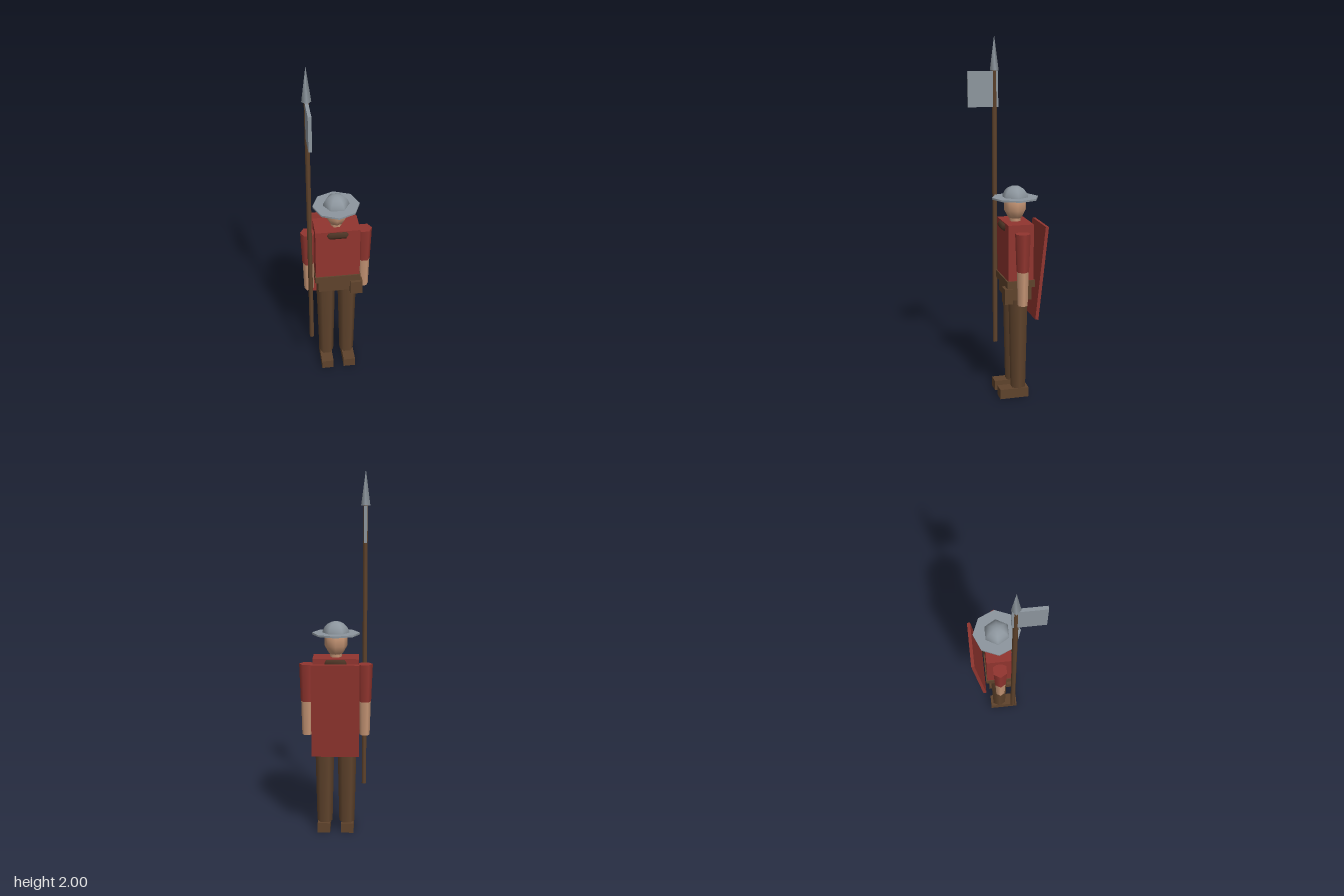
import * as THREE from 'three';

const paint = (name, color) => {
  const m = new THREE.MeshStandardMaterial({ color });
  m.name = name;
  return m;
};

export function createModel() {
  const red = paint('red cloth', 0x91352f);
  const brown = paint('brown leather', 0x5f432c);
  const darkBrown = paint('dark leather', 0x4c3425);
  const steel = paint('steel', 0x8d969e);
  const skin = paint('skin', 0xc49474);

  const model = new THREE.Group();
  model.name = 'guard';
  const BZ = -0.037; // body centre line

  const add = (name, geometry, material, x, y, z, parent = model) => {
    const mesh = new THREE.Mesh(geometry, material);
    mesh.name = name;
    mesh.position.set(x, y, z);
    parent.add(mesh);
    return mesh;
  };
  const box = (w, h, d) => new THREE.BoxGeometry(w, h, d);
  // Six-sided tapered limb with corners pointing sideways
  const limb = (rTop, rBottom, h) =>
    new THREE.CylinderGeometry(rTop, rBottom, h, 6).rotateY(Math.PI / 6);

  // Torso, belt and hips
  add('torso', box(0.25, 0.33, 0.142), red, 0, 0.835, BZ);
  add('belt', box(0.26, 0.04, 0.156), brown, 0, 0.67, BZ);
  add('hips', box(0.22, 0.08, 0.13), brown, 0, 0.615, BZ);
  add('pouch', box(0.07, 0.085, 0.046), brown, 0.105, 0.607, 0.034);

  // Rolled collar, mostly sunk into the torso
  add('collar', new THREE.TorusGeometry(0.08, 0.022, 6, 6).rotateX(Math.PI / 2),
    darkBrown, 0, 0.976, BZ);

  // Neck and head
  add('neck', limb(0.032, 0.032, 0.07), skin, 0, 1.01, BZ);
  add('head', new THREE.SphereGeometry(0.065, 8, 5).scale(1, 1.3, 1), skin, 0, 1.088, BZ);

  // Helmet with a wide eight-sided brim
  const helmet = new THREE.Group();
  helmet.name = 'helmet';
  model.add(helmet);
  add('brim', new THREE.CylinderGeometry(0.13, 0.13, 0.01, 8), steel, 0, 1.128, BZ, helmet);
  add('dome', new THREE.SphereGeometry(0.075, 6, 5, 0, Math.PI * 2, 0, Math.PI / 2),
    steel, 0, 1.121, BZ, helmet);

  // Arms, legs and shoes
  for (const [side, s] of [['left', 1], ['right', -1]]) {
    add(side + 'Sleeve', limb(0.043, 0.035, 0.21), red, s * 0.159, 0.855, BZ);
    add(side + 'Forearm', limb(0.033, 0.028, 0.19), skin, s * 0.159, 0.655, BZ);
    add(side + 'Leg', limb(0.055, 0.043, 0.535), brown, s * 0.062, 0.3225, BZ);
    add(side + 'Shoe', box(0.07, 0.055, 0.163), brown, s * 0.066, 0.0275, -0.008);
  }

  // Shield slung on the back, leaning away at the top
  const shield = add('shield', box(0.26, 0.525, 0.018), red, 0, 0.722, -0.155);
  shield.rotation.x = -0.107;

  // Polearm
  const polearm = new THREE.Group();
  polearm.name = 'polearm';
  polearm.position.set(-0.157, 0, 0.04);
  model.add(polearm);
  add('shaft', new THREE.CylinderGeometry(0.014, 0.014, 1.56, 6), brown, 0, 1.03, 0, polearm);
  add('spearPoint', new THREE.ConeGeometry(0.025, 0.19, 4), steel, 0, 1.905, 0, polearm);
  add('blade', box(0.018, 0.195, 0.17), steel, 0, 1.71, 0.065, polearm);

  return model;
}
